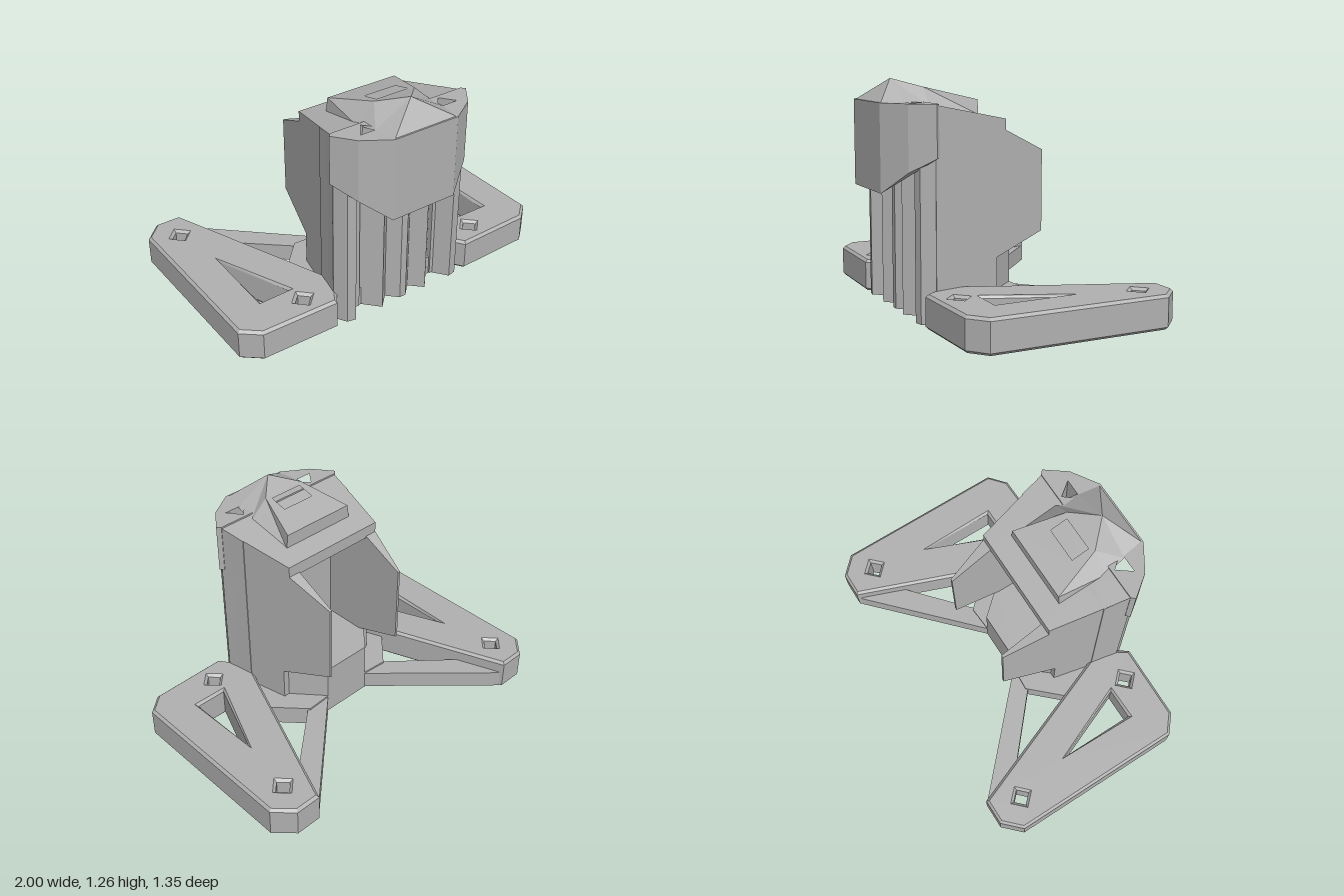
import * as THREE from 'three';

const grey = new THREE.MeshStandardMaterial({ color: 0xb0b0b0 });
grey.name = 'plain grey';

const mesh = (geo, name) => {
  const m = new THREE.Mesh(geo, grey);
  m.name = name;
  return m;
};

// Move each vertex by a rule and restore the flat normals
function warp(geo, rule) {
  const p = geo.attributes.position, v = new THREE.Vector3();
  for (let i = 0; i < p.count; i++) {
    rule(v.fromBufferAttribute(p, i));
    p.setXYZ(i, v.x, v.y, v.z);
  }
  geo.computeVertexNormals();
  return geo;
}

// Plan outline of [x, z] points raised from y0 to y1
function plan(points, y0, y1, holes = [], bevel = 0) {
  const vecs = (pts) => pts.map(([x, z]) => new THREE.Vector2(x, -z));
  const shape = new THREE.Shape(vecs(points));
  holes.forEach((h) => shape.holes.push(new THREE.Path(vecs(h))));
  const geo = new THREE.ExtrudeGeometry(shape, {
    depth: y1 - y0 - 2 * bevel, bevelEnabled: bevel > 0, bevelSegments: 1,
    bevelSize: bevel, bevelThickness: bevel, bevelOffset: -bevel,
  });
  return geo.rotateX(-Math.PI / 2).translate(0, y0 + bevel, 0);
}

const flip = (pts, s) => pts.map(([x, z]) => [x * s, z]);
const both = (half) => [...half, ...flip(half, -1).reverse()];
const diamond = (x, z, r) => [[x + r, z], [x, z + r], [x - r, z], [x, z - r]];
const roofY = (z) => Math.min(1.14, 1.05 + 0.2 * z);

// Faceted hood: sections of [z, base half width, base y, top half width, top y]
function hoodGeometry(sections) {
  const pos = [];
  const quad = (a, b, c, d) => pos.push(...a, ...b, ...c, ...a, ...c, ...d);
  const base = (s, k) => [k * s[1], s[2], s[0]];
  const top = (s, k) => [k * s[3], s[4], s[0]];
  sections.slice(1).forEach((b, i) => {
    const a = sections[i];
    quad(base(a, 1), top(a, 1), top(b, 1), base(b, 1));
    quad(base(b, -1), top(b, -1), top(a, -1), base(a, -1));
    if (i > 0) quad(top(a, 1), top(a, -1), top(b, -1), top(b, 1));
  });
  const r = sections[0];
  quad(base(r, 1), base(r, -1), top(r, -1), top(r, 1));
  const geo = new THREE.BufferGeometry();
  geo.setAttribute('position', new THREE.Float32BufferAttribute(pos, 3));
  geo.computeVertexNormals();
  return geo;
}

export function createModel() {
  const model = new THREE.Group();
  model.name = 'bracket';

  // Fluted front column with sloping top
  const column = plan(both([[0.39, 0.29], [0.42, 0.45], [0.38, 0.52], [0.33, 0.53],
    [0.25, 0.42], [0.15, 0.53], [0.08, 0.46], [0.02, 0.52]]), 0.005, 1.14);
  model.add(mesh(warp(column, (v) => { if (v.y > 1) v.y = roofY(v.z); }), 'flutedColumn'));

  // Roof slab over the rear slot
  const roof = plan(both([[0.25, 0], [0.27, 0.44]]), 0.98, 1.1);
  model.add(mesh(warp(roof, (v) => { if (v.y > 1) v.y = roofY(v.z); }), 'roof'));

  // Platform and low hub between the feet
  model.add(mesh(plan(both([[0.15, -0.11], [0.3, 0.06], [0.3, 0.4]]), 0.01, 0.315), 'platform'));
  model.add(mesh(plan(both([[0.15, -0.11], [0.3, -0.12], [0.47, 0.06], [0.4, 0.44]]), 0.005, 0.12), 'hub'));

  // Visor wrapped round the top of the column, cut away underneath
  const gap = [[0.31, 0.53], [0.25, 0.45], [0.18, 0.53]];
  const visor = plan(both([[0.42, 0.43], [0.44, 0.45], [0.35, 0.57], [0.2, 0.665]]),
    0.67, 1.145, [gap, flip(gap, -1)]);
  model.add(mesh(warp(visor, (v) => {
    if (v.y < 1) v.y = 0.67 + 0.2 * THREE.MathUtils.clamp((0.67 - v.z) / 0.16, 0, 1);
  }), 'visor'));

  // Hood with a peak at the front and a recessed slot on top
  model.add(mesh(hoodGeometry([
    [0.12, 0.23, 1.07, 0.22, 1.15],
    [0.4, 0.24, 1.12, 0.13, 1.22],
    [0.53, 0.22, 1.14, 0, 1.262],
    [0.66, 0.2, 1.14, 0.2, 1.141],
  ]), 'hood'));
  const slot = [[-0.1, 0.28], [0.1, 0.28], [0.1, 0.38], [-0.1, 0.38]];
  const hoodTop = plan(both([[0.22, 0.12], [0.13, 0.4]]), 1.1, 1.15, [slot]);
  model.add(mesh(warp(hoodTop, (v) => { v.y += 0.25 * (v.z - 0.12); }), 'hoodTop'));

  for (const s of [1, -1]) {
    const side = s > 0 ? 'left' : 'right';

    // Tapered side wall
    const profile = [[0.45, 0.01], [0.45, 1.14], [0, 1.05], [0, 0.99], [-0.25, 0.87],
      [-0.25, 0.42], [0.06, 0.31], [0.06, 0.01]];
    const wall = new THREE.ExtrudeGeometry(
      new THREE.Shape(profile.map(([z, y]) => new THREE.Vector2(z, y))),
      { depth: 1, bevelEnabled: false });
    wall.rotateY(-Math.PI / 2).translate(s > 0 ? 1 : 0, 0, 0);
    warp(wall, (v) => {
      const outer = 0.265 + (v.z + 0.25) * 0.225;
      v.x = s * (Math.abs(v.x) > 0.5 ? outer : 0.25);
    });
    model.add(mesh(wall, side + 'Wall'));

    // Foot with a triangular window and two screw holes
    const foot = [[0.4, 0.45], [0.45, 0.525], [0.9, 0.515], [1, 0.43], [1, -0.58],
      [0.9, -0.68], [0.75, -0.68], [0.37, 0.3]];
    const holes = [[[0.78, -0.16], [0.78, 0.29], [0.6, 0.29]],
      diamond(0.84, -0.5, 0.05), diamond(0.585, 0.4, 0.05)];
    model.add(mesh(plan(flip(foot, s), 0, 0.185, holes.map((h) => flip(h, s)), 0.015), side + 'Foot'));

    // Low diagonal brace from hub to the back of the foot
    const brace = [[0.15, -0.11], [0.74, -0.665], [0.69, -0.42], [0.64, -0.4], [0.31, -0.11]];
    model.add(mesh(plan(flip(brace, s), 0.01, 0.11), side + 'Brace'));
  }
  return model;
}
